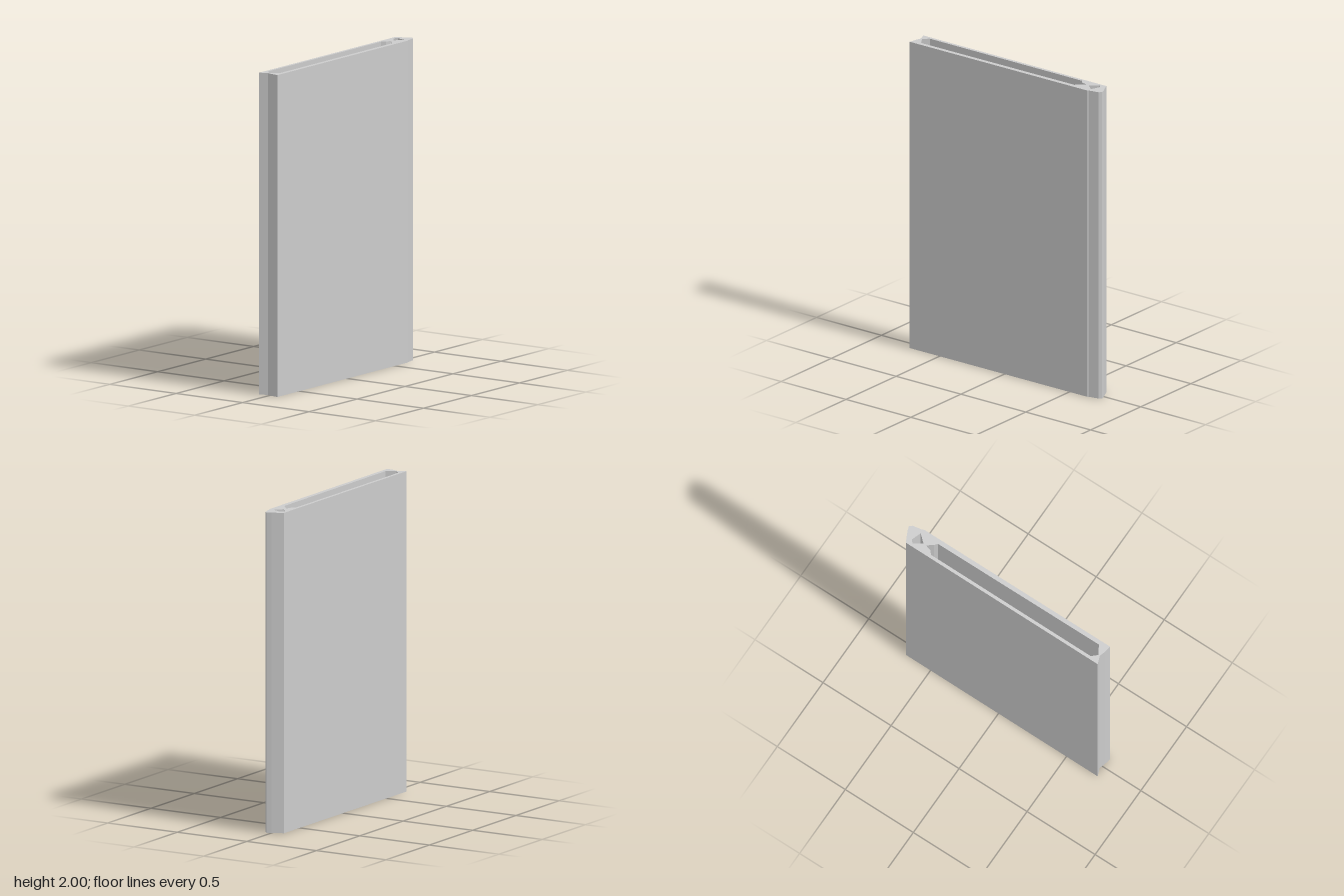
import * as THREE from 'three';

const HEIGHT = 2;
const toPoints = (list) => list.map(([x, z]) => new THREE.Vector2(x, -z));

export function createModel() {
  const group = new THREE.Group();
  group.name = 'hollowBookCase';

  // Plan outline as [x, z]: two flat covers, notched fore edge, slanted spine
  const outline = new THREE.Shape(toPoints([
    [-0.73, 0.067], [0.635, 0.064], [0.645, 0.058], [0.71, 0.046], [0.726, 0.03],
    [0.715, 0.0], [0.682, -0.068], [-0.73, -0.07], [-0.71, -0.018], [-0.722, 0.02],
  ]));

  // Long hollow between the covers
  const cavity = new THREE.Path(toPoints([
    [-0.7, -0.018], [-0.665, -0.05], [0.51, -0.048], [0.53, -0.025], [0.57, -0.014],
    [0.53, 0.015], [0.515, 0.035], [-0.665, 0.04],
  ]));

  // Small hollow inside the spine
  const spineHollow = new THREE.Path(toPoints([
    [0.59, -0.012], [0.645, -0.05], [0.663, -0.03], [0.64, 0.033],
  ]));
  outline.holes.push(cavity, spineHollow);

  // Raise the plan to full height
  const geometry = new THREE.ExtrudeGeometry(outline, { depth: HEIGHT, bevelEnabled: false });
  geometry.rotateX(-Math.PI / 2);

  const caseShell = new THREE.Mesh(geometry, new THREE.MeshStandardMaterial({ color: 0xcccccc }));
  caseShell.name = 'coversAndSpine';
  group.add(caseShell);
  return group;
}
